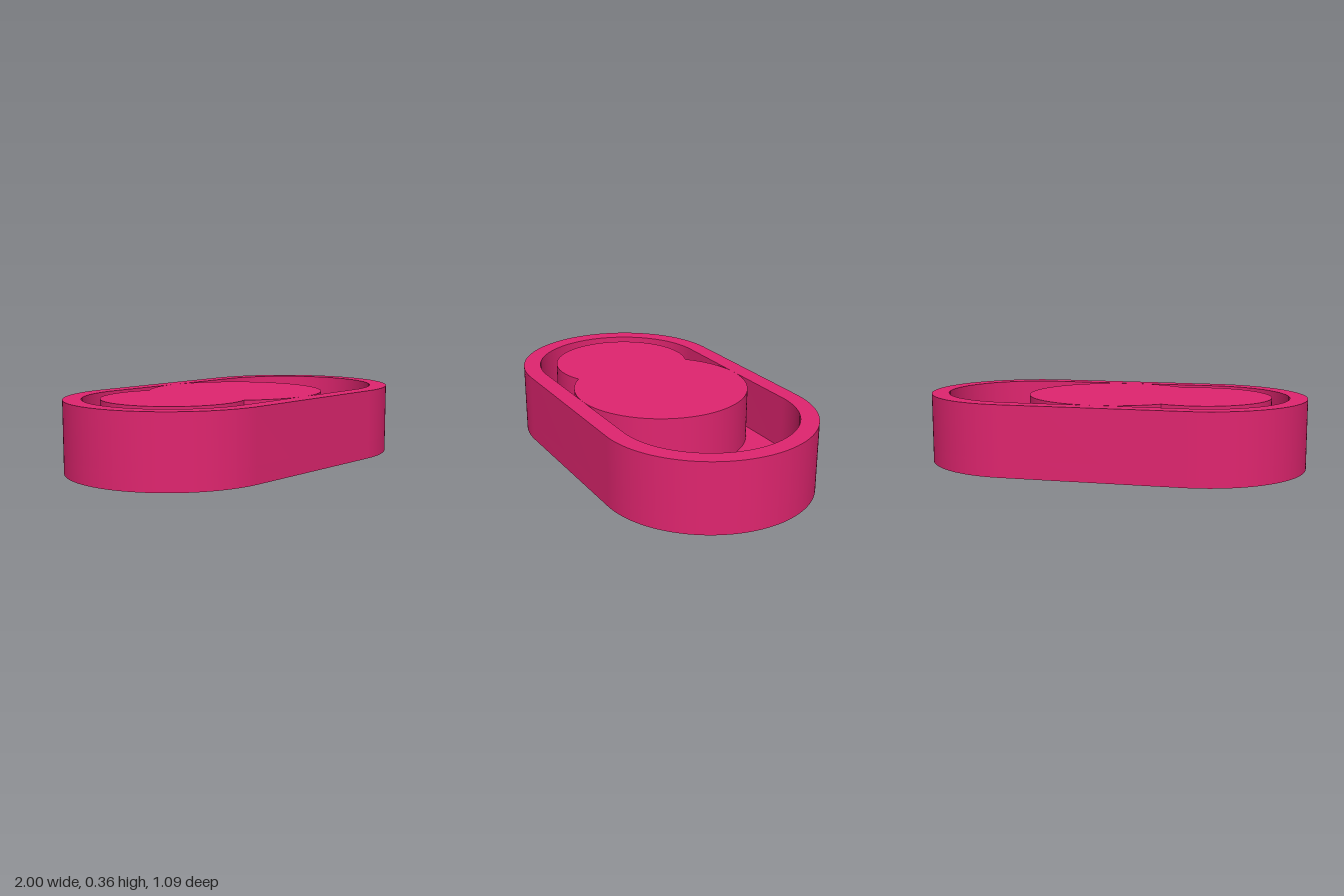
import * as THREE from 'three';
import { toCreasedNormals } from 'three/addons/utils/BufferGeometryUtils.js';

const U = 1 / 11; // wall and floor thickness; every size is a multiple of it
const SEGMENTS = 64;

// Rounded slot outline with its end arcs centred at x = +-5U
function slot(PathType, radius) {
  const path = new PathType();
  path.absarc(5 * U, 0, radius, -Math.PI / 2, Math.PI / 2, false);
  path.absarc(-5 * U, 0, radius, Math.PI / 2, Math.PI * 1.5, false);
  path.closePath();
  return path;
}

// Large disc merged with a smaller one on its right
function islandOutline() {
  const R = 5 * U, r = 4 * U;
  const x = -3.4 * U, z = Math.sqrt(R * R - x * x); // where the circles cross
  const a = Math.atan2(z, x), b = Math.atan2(z, x + R);
  const shape = new THREE.Shape();
  shape.absarc(0, 0, R, -a, a, false);
  shape.absarc(-R, 0, r, b, Math.PI * 2 - b, false);
  shape.closePath();
  return shape;
}

export function createModel() {
  const group = new THREE.Group();
  const material = new THREE.MeshStandardMaterial({ color: 0xe0256f });

  // Raise a flat outline from one height to another
  const add = (name, shape, bottom, top) => {
    const extruded = new THREE.ExtrudeGeometry(shape, {
      depth: top - bottom, bevelEnabled: false, curveSegments: SEGMENTS,
    });
    extruded.rotateX(-Math.PI / 2).translate(0, bottom, 0);
    const mesh = new THREE.Mesh(toCreasedNormals(extruded, Math.PI / 6), material);
    mesh.name = name;
    group.add(mesh);
  };

  // Tray floor
  add('floor', slot(THREE.Shape, 6 * U), 0, U);

  // Tray wall
  const wall = slot(THREE.Shape, 6 * U);
  wall.holes.push(slot(THREE.Path, 5 * U));
  add('wall', wall, U, 4 * U);

  // Raised island, level with the rim
  add('island', islandOutline(), U, 4 * U);

  return group;
}
